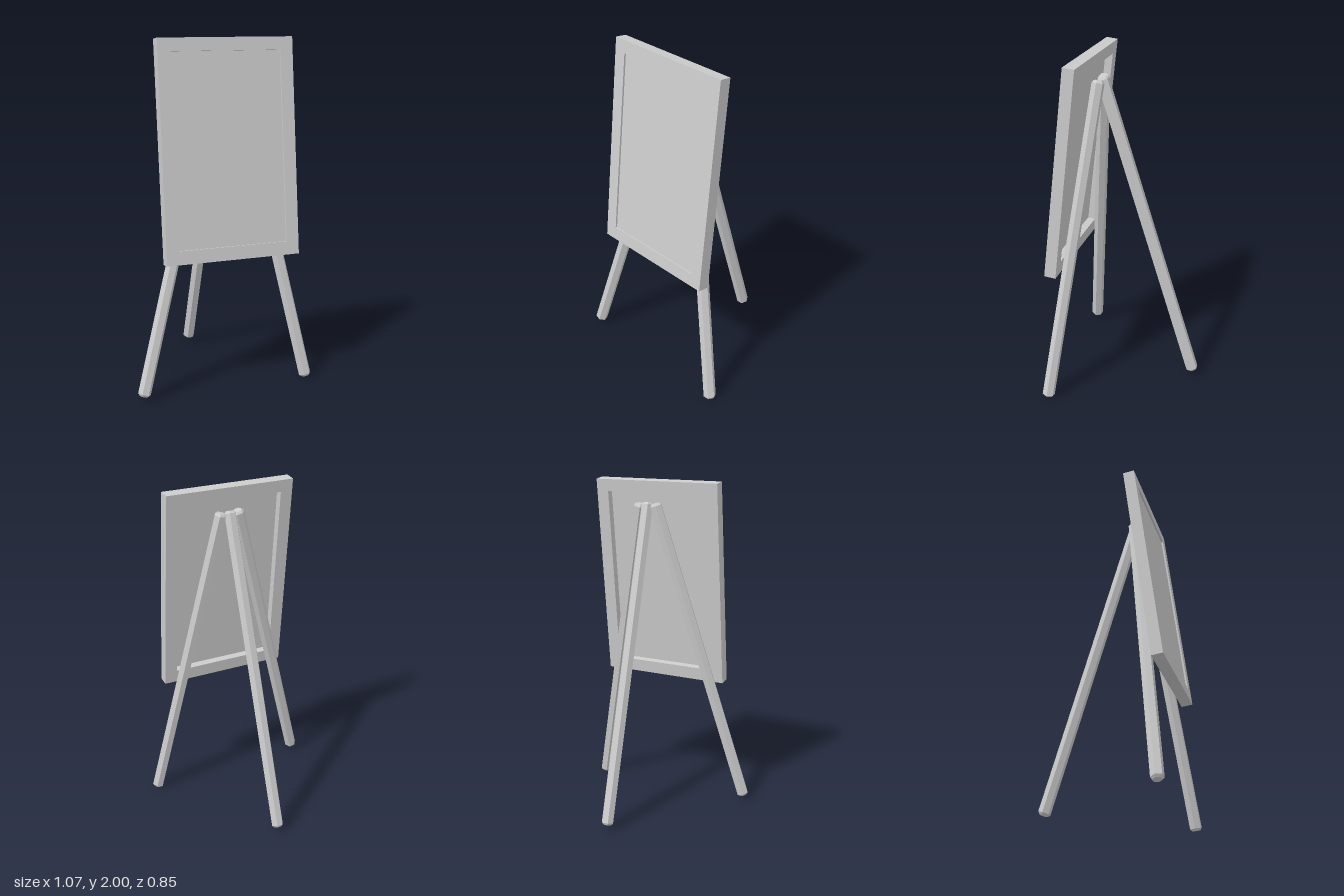
import * as THREE from 'three';

const material = new THREE.MeshStandardMaterial({ color: 0xcccccc, flatShading: true });

// Hexagonal leg with chamfered ends, running between two points
function makeLeg(name, from, to) {
  const a = new THREE.Vector3(...from);
  const dir = new THREE.Vector3(...to).sub(a);
  const length = dir.length();
  const r = 0.037, tip = 0.025, bevel = 0.013;
  const profile = [
    [0, 0], [tip, 0], [r, bevel], [r, length - bevel], [tip, length], [0, length],
  ].map(([x, y]) => new THREE.Vector2(x, y));
  const leg = new THREE.Mesh(new THREE.LatheGeometry(profile, 6, Math.PI / 2), material);
  leg.name = name;

  // Keep two opposite edges of the hexagon level with the ground
  const yAxis = dir.normalize();
  const xAxis = new THREE.Vector3(0, 1, 0).cross(yAxis).normalize();
  const zAxis = new THREE.Vector3().crossVectors(xAxis, yAxis);
  leg.quaternion.setFromRotationMatrix(new THREE.Matrix4().makeBasis(xAxis, yAxis, zAxis));
  leg.position.copy(a);
  return leg;
}

// Leaning board: a frame with a thin panel set into it
function makeBoard() {
  const w = 0.796, h = 1.234, depth = 0.068;
  const inner = { x0: -0.323, x1: 0.323, y0: -h / 2 + 0.077, y1: h / 2 - 0.073 };
  const board = new THREE.Group();
  board.name = 'board';

  const shape = new THREE.Shape([
    new THREE.Vector2(-w / 2, -h / 2), new THREE.Vector2(w / 2, -h / 2),
    new THREE.Vector2(w / 2, h / 2), new THREE.Vector2(-w / 2, h / 2),
  ]);
  shape.holes.push(new THREE.Path([
    new THREE.Vector2(inner.x0, inner.y0), new THREE.Vector2(inner.x0, inner.y1),
    new THREE.Vector2(inner.x1, inner.y1), new THREE.Vector2(inner.x1, inner.y0),
  ]));
  const frameGeometry = new THREE.ExtrudeGeometry(shape, { depth, bevelEnabled: false });
  frameGeometry.translate(0, 0, -depth / 2);
  const frame = new THREE.Mesh(frameGeometry, material);
  frame.name = 'frame';

  // Panel sits just behind the front of the frame, leaving a deeper recess at the back
  const thickness = 0.012;
  const panel = new THREE.Mesh(
    new THREE.BoxGeometry(inner.x1 - inner.x0, inner.y1 - inner.y0, thickness), material);
  panel.name = 'panel';
  panel.position.set(0, (inner.y0 + inner.y1) / 2, depth / 2 - 0.011 - thickness / 2);

  board.add(frame, panel);
  board.position.set(0.032, 1.383, 0.302);
  board.rotation.x = -0.12;
  return board;
}

export function createModel() {
  const easel = new THREE.Group();
  easel.name = 'easel';
  easel.add(
    makeBoard(),
    makeLeg('rightFrontLeg', [-0.505, 0.03, 0.395], [0.012, 1.865, 0.163]),
    makeLeg('leftFrontLeg', [0.5, 0.008, 0.388], [0.115, 1.86, 0.165]),
    makeLeg('backLeg', [0.035, 0.04, -0.396], [0.062, 1.868, 0.16]),
  );
  return easel;
}
